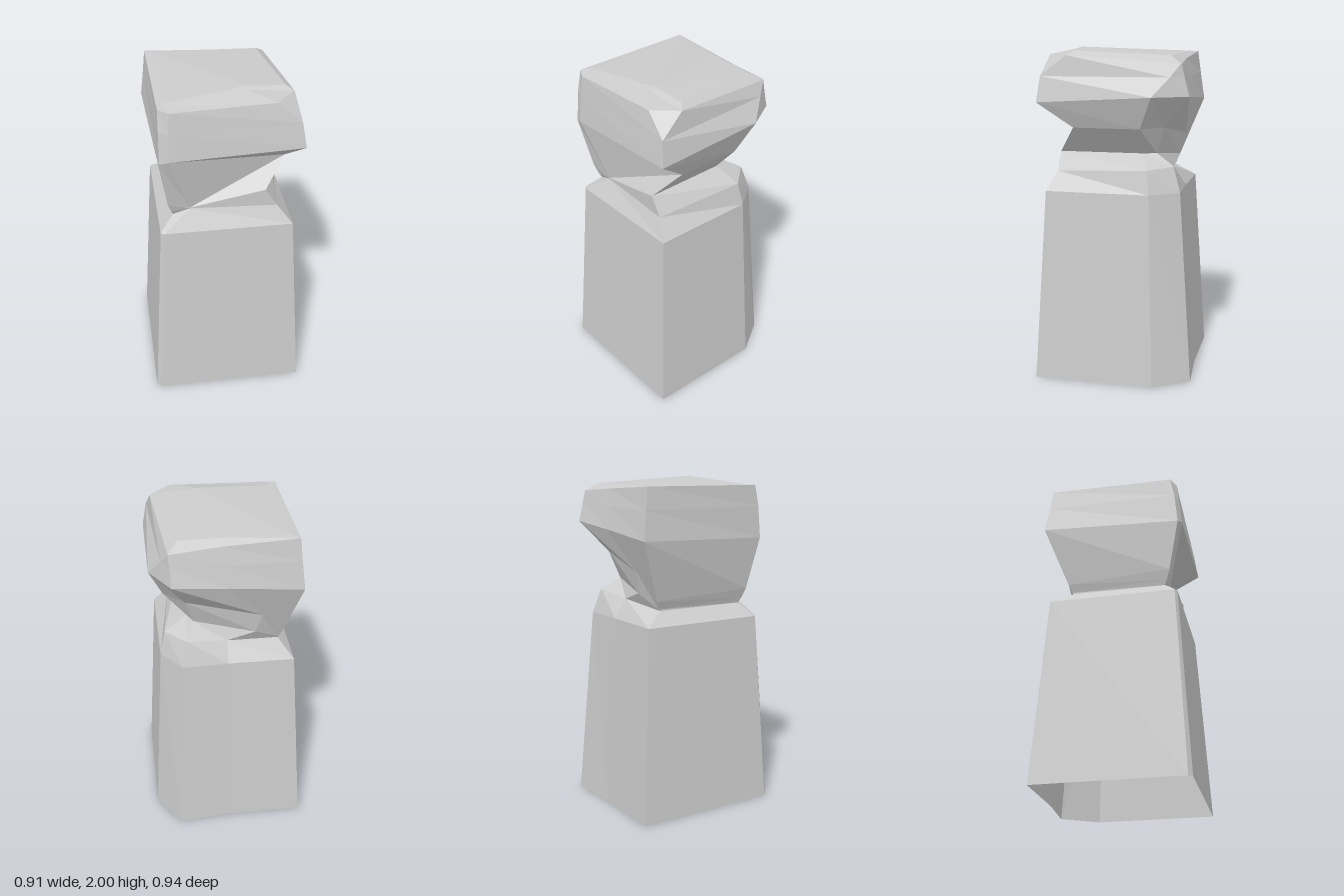
import * as THREE from 'three';

// Every ring has eight corners, anticlockwise from above: front right,
// front left pair, back left pair, back middle, back right, right front.
const NECK_LOW = [
  [-0.21, 1.28, 0.335], [0.23, 1.38, 0.355], [0.23, 1.38, 0.355], [0.22, 1.38, -0.15],
  [0.19, 1.38, -0.23], [-0.165, 1.33, -0.31], [-0.31, 1.25, -0.26], [-0.32, 1.27, 0.335],
];
const NECK_HIGH = [
  [-0.21, 1.285, 0.335], [0.36, 1.54, 0.24], [0.36, 1.54, 0.24], [0.36, 1.54, -0.16],
  [0.24, 1.54, -0.28], [-0.2, 1.46, -0.34], [-0.33, 1.3, -0.28], [-0.34, 1.33, 0.355],
];

// Flared block with a sloping shoulder
const BODY = [
  [[-0.432, 0, 0.468], [0.455, 0, 0.468], [0.455, 0, 0.468], [0.455, 0, -0.255],
    [0.32, 0, -0.47], [0, 0, -0.445], [-0.457, 0, -0.445], [-0.457, 0, 0.445]],
  [[-0.37, 1.16, 0.405], [0.39, 1.16, 0.405], [0.39, 1.16, 0.405], [0.39, 1.16, -0.22],
    [0.27, 1.16, -0.385], [0, 1.16, -0.375], [-0.39, 1.16, -0.375], [-0.39, 1.16, 0.39]],
  [[-0.21, 1.28, 0.335], [0.3, 1.27, 0.355], [0.3, 1.27, 0.355], [0.36, 1.3, -0.2],
    [0.24, 1.31, -0.34], [0, 1.275, -0.3], [-0.31, 1.24, -0.25], [-0.31, 1.24, 0.32]],
  NECK_LOW,
];

// Head block: widest ring, bevel start, rim, top
const HEAD = [
  NECK_HIGH,
  [[-0.33, 1.66, 0.44], [0.435, 1.69, 0.44], [0.435, 1.69, 0.44], [0.44, 1.73, -0.24],
    [0.325, 1.73, -0.44], [0, 1.7, -0.425], [-0.42, 1.66, -0.42], [-0.385, 1.64, 0.42]],
  [[-0.325, 1.83, 0.425], [0.41, 1.84, 0.42], [0.41, 1.84, 0.42], [0.372, 1.84, -0.335],
    [0.327, 1.84, -0.412], [0.02, 1.83, -0.4], [-0.402, 1.83, -0.397], [-0.382, 1.83, 0.405]],
  [[-0.32, 1.945, 0.412], [0.27, 1.96, 0.4], [0.39, 1.96, 0.27], [0.335, 1.915, -0.39],
    [0.325, 1.915, -0.396], [0.05, 1.935, -0.377], [-0.39, 1.96, -0.38], [-0.38, 1.955, 0.38]],
  [[-0.3, 1.955, 0.355], [0.11, 1.99, 0.28], [0.345, 1.985, 0.24], [0.28, 1.96, -0.325],
    [0.27, 1.96, -0.325], [0, 1.965, -0.33], [-0.34, 1.965, -0.33], [-0.345, 1.96, 0.32]],
];

// Joins rings from bottom to top; an optional peak point closes the top.
function loft(name, rings, peak) {
  const positions = [];
  const same = (a, b) => a.every((v, i) => v === b[i]);
  const tri = (a, b, c) => {
    if (!same(a, b) && !same(b, c) && !same(a, c)) positions.push(...a, ...b, ...c);
  };
  const n = rings[0].length;
  const last = rings[rings.length - 1];
  for (let i = 0; i < n; i++) {
    const j = (i + 1) % n;
    for (let r = 0; r < rings.length - 1; r++) {
      const low = rings[r], high = rings[r + 1];
      tri(low[i], low[j], high[i]);
      tri(low[j], high[j], high[i]);
    }
    if (peak) tri(peak, last[i], last[j]);
  }
  const geometry = new THREE.BufferGeometry();
  geometry.setAttribute('position', new THREE.Float32BufferAttribute(positions, 3));
  geometry.computeVertexNormals();
  const material = new THREE.MeshStandardMaterial({
    color: 0xcccccc, flatShading: true, side: THREE.DoubleSide,
  });
  const mesh = new THREE.Mesh(geometry, material);
  mesh.name = name;
  return mesh;
}

export function createModel() {
  const group = new THREE.Group();
  group.name = 'stonePillar';
  // The body is a shell, open underneath
  group.add(
    loft('body', BODY),
    loft('neck', [NECK_LOW, NECK_HIGH]),
    loft('head', HEAD, [0.13, 2, 0.25]),
  );
  return group;
}
